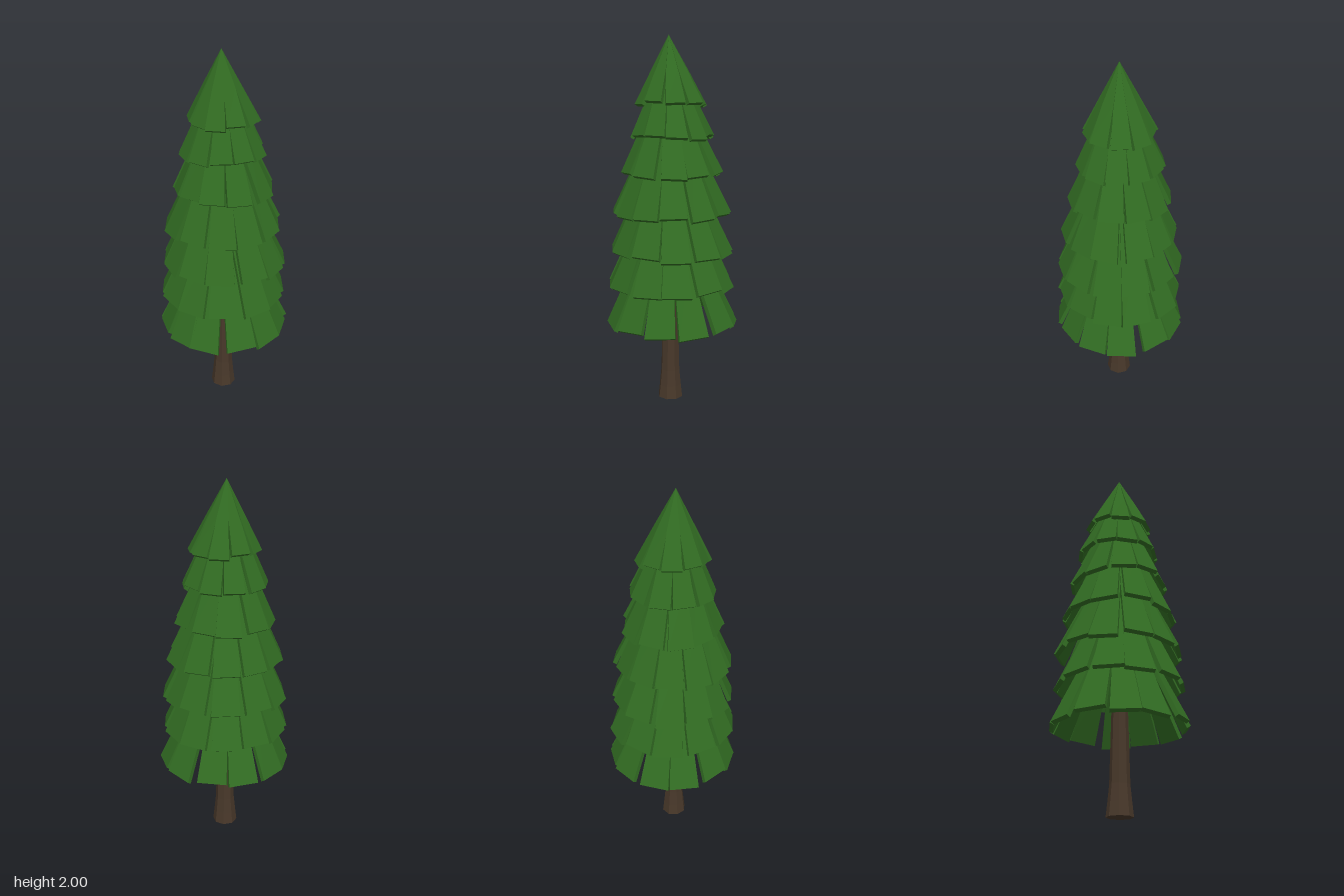
import * as THREE from 'three';

const green = new THREE.MeshStandardMaterial({ color: 0x316b22, flatShading: true });
const brown = new THREE.MeshStandardMaterial({ color: 0x48382a, flatShading: true });

// Small seeded generator, returns -1..1
let seed = 7;
function jitter(amount) {
  seed = (seed * 16807) % 2147483647;
  return (seed / 2147483647 * 2 - 1) * amount;
}

// Tiers from top to bottom: lower edge height, radius, bough count, first angle, peak height
const tiers = [
  { y: 1.645, r: 0.183, n: 10, start: 0.16, peak: 2.0 },
  { y: 1.47, r: 0.222, n: 11, start: 0.24 },
  { y: 1.27, r: 0.265, n: 11, start: 0.12 },
  { y: 1.06, r: 0.308, n: 12, start: 0.24 },
  { y: 0.85, r: 0.333, n: 12, start: 0.24 },
  { y: 0.66, r: 0.343, n: 12, start: 0.26 },
  { y: 0.452, r: 0.352, n: 12, start: 0 },
];

// One sloping slab: narrow at the peak, wide and slightly skewed at its lower edge
function boughGeometry(tier, angle) {
  const geo = new THREE.BoxGeometry(1, 1, 1, 1, 2, 1);
  const pos = geo.attributes.position;
  const peak = tier.peak ?? tier.y + tier.r * 2.15;
  const turn = jitter(0.05), lift = jitter(0.012), push = jitter(0.01), roll = jitter(0.07);
  const full = Math.tan(Math.PI / tier.n);
  for (let i = 0; i < pos.count; i++) {
    const t = 0.5 - pos.getY(i);
    const back = 0.5 - pos.getZ(i);
    const a = angle + turn * t;
    const width = 2 * full * tier.r * t * (t > 0.9 ? 0.86 : 1.02);
    const side = pos.getX(i) * width;
    const radial = (tier.r + push) * t - back * 0.02 * t;
    const y = peak + (tier.y + lift - peak) * t + side * roll * t - back * (0.012 + 0.03 * (1 - t));
    const lean = 0.012 * (1 - t);
    pos.setXYZ(i,
      Math.sin(a) * radial + Math.cos(a) * side - lean,
      y,
      Math.cos(a) * radial - Math.sin(a) * side + lean * 0.7);
  }
  geo.computeVertexNormals();
  return geo;
}

export function createModel() {
  const tree = new THREE.Group();
  tree.name = 'pineTree';
  seed = 7;

  // Eight-sided trunk with a flared foot
  const profile = [[0, 0.01], [0.07, 0.01], [0.062, 0.08], [0.053, 0.17], [0.046, 0.45], [0.035, 0.9], [0, 0.9]];
  const trunk = new THREE.Mesh(
    new THREE.LatheGeometry(profile.map(([x, y]) => new THREE.Vector2(x, y)), 8, Math.PI / 8), brown);
  trunk.name = 'trunk';
  trunk.position.set(-0.003, -0.01, 0.007);
  tree.add(trunk);

  // Rings of overlapping boughs
  tiers.forEach((tier, k) => {
    const ring = new THREE.Group();
    ring.name = `foliageTier${k + 1}`;
    for (let i = 0; i < tier.n; i++) {
      const bough = new THREE.Mesh(boughGeometry(tier, tier.start + i * Math.PI * 2 / tier.n), green);
      bough.name = 'bough';
      ring.add(bough);
    }
    tree.add(ring);
  });
  return tree;
}
